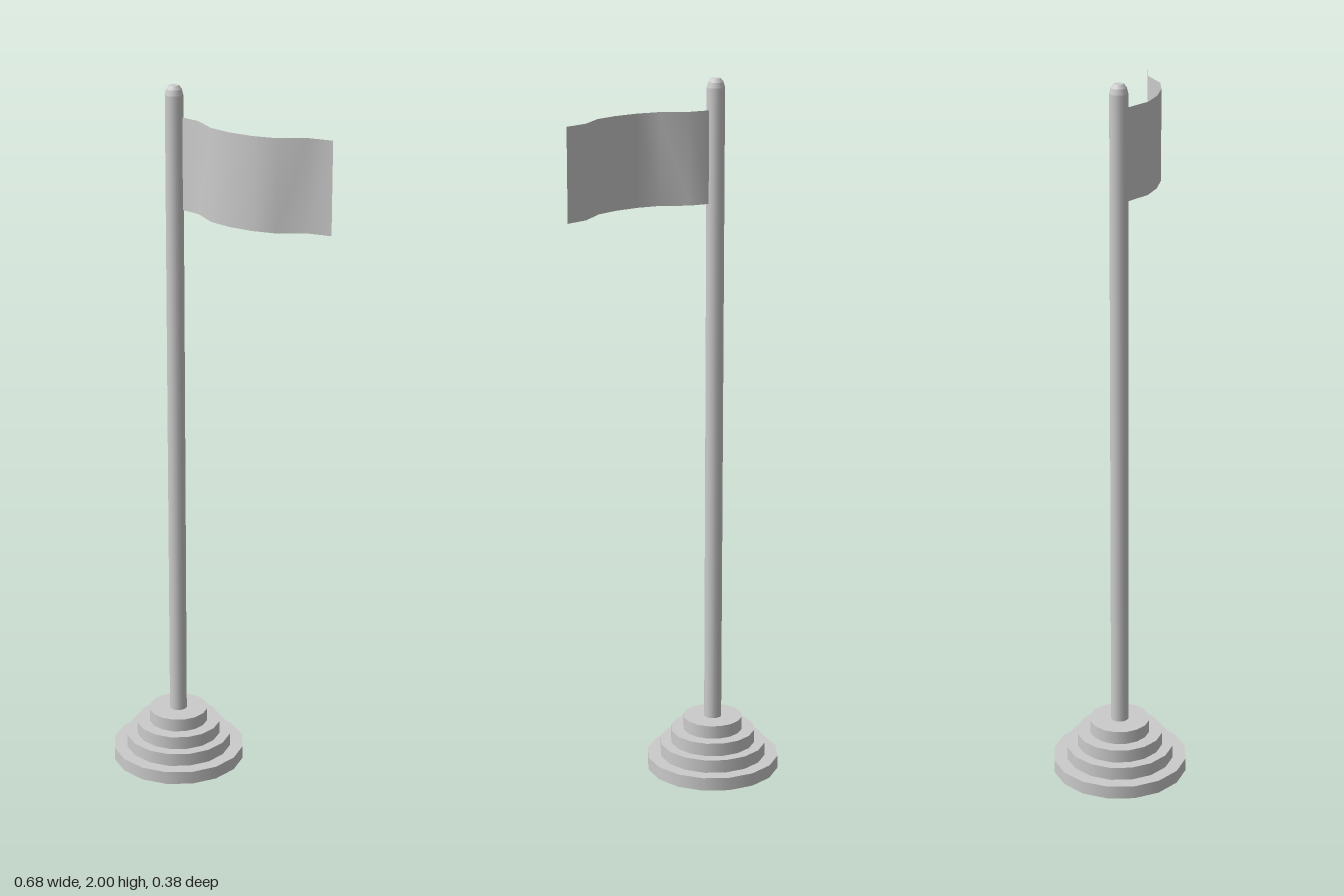
import * as THREE from 'three';

const POLE_X = -0.147;

export function createModel() {
  const group = new THREE.Group();
  const grey = new THREE.MeshStandardMaterial({ color: 0xcccccc });
  const cloth = new THREE.MeshStandardMaterial({ color: 0xcccccc, side: THREE.DoubleSide });

  // Upright cylinder section standing on y0, centred on the pole axis
  function section(name, rTop, rBottom, y0, y1, openEnded = false) {
    const geometry = new THREE.CylinderGeometry(rTop, rBottom, y1 - y0, 16, 1, openEnded);
    const mesh = new THREE.Mesh(geometry, grey);
    mesh.name = name;
    mesh.position.set(POLE_X, (y0 + y1) / 2, 0);
    group.add(mesh);
  }

  // Stepped round base
  const step = 0.0382;
  [0.191, 0.153, 0.122, 0.085].forEach((r, i) => {
    section(`baseStep${i + 1}`, r, r, i * step, (i + 1) * step);
  });

  // Pole with a rounded, flat-topped tip
  section('pole', 0.025, 0.025, 4 * step, 1.975, true);
  section('poleTipLower', 0.021, 0.025, 1.975, 1.99, true);
  section('poleTipUpper', 0.013, 0.021, 1.99, 2);

  // Waving flag: a plane whose columns follow a wave seen from above
  const wave = [[-0.125, -0.003], [-0.065, 0.008], [0.002, 0.052], [0.067, 0.066],
    [0.138, 0.066], [0.203, 0.052], [0.27, 0.008], [0.338, -0.004]];
  const columns = wave.length;
  const flagGeometry = new THREE.PlaneGeometry(1, 0.255, columns - 1, 1);
  const position = flagGeometry.attributes.position;
  for (let i = 0; i < position.count; i++) {
    const [x, z] = wave[i % columns];
    position.setX(i, x);
    position.setZ(i, z);
  }
  flagGeometry.computeVertexNormals();
  const flag = new THREE.Mesh(flagGeometry, cloth);
  flag.name = 'flag';
  flag.position.y = 1.788;
  group.add(flag);

  return group;
}
